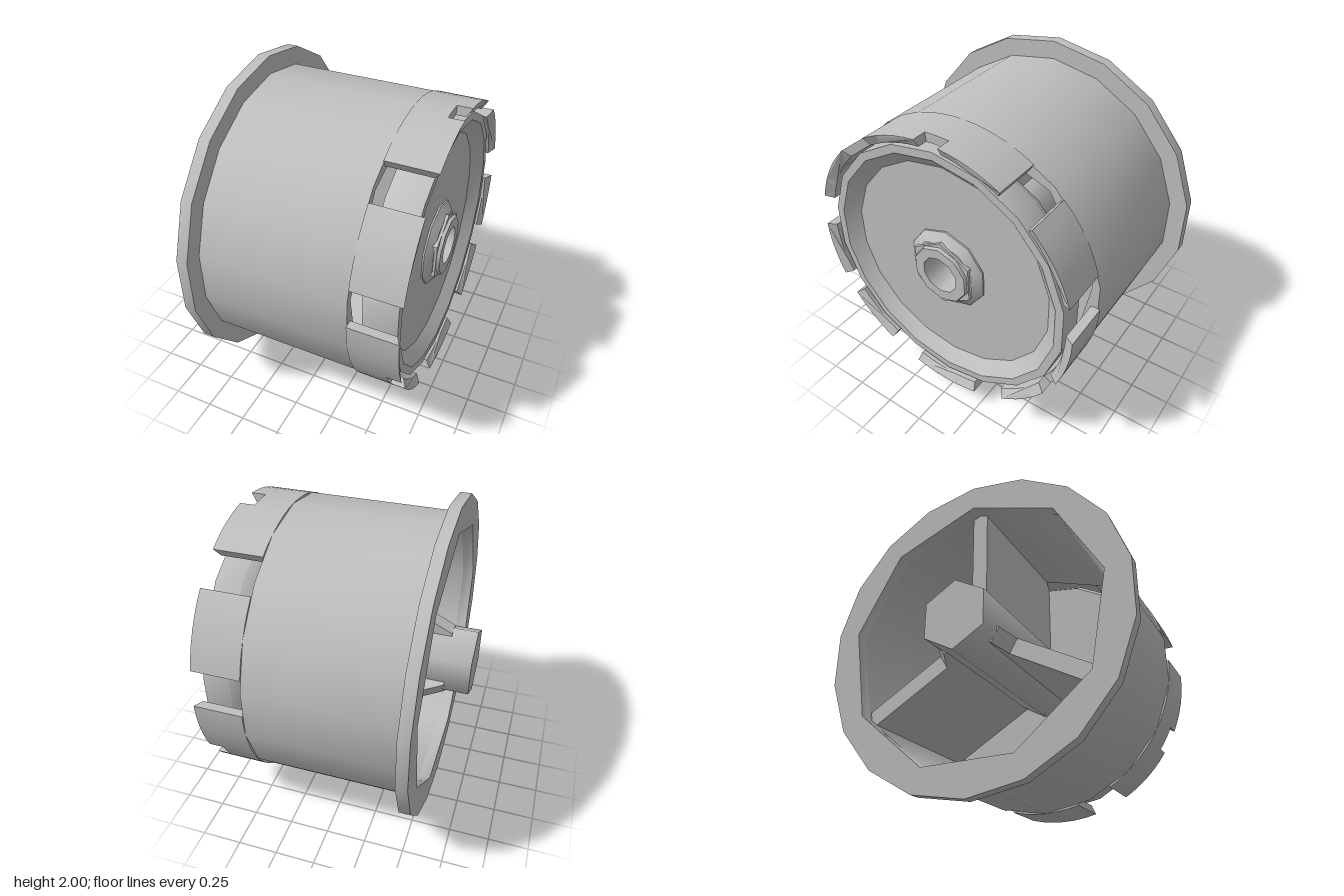
import * as THREE from 'three';
import { toCreasedNormals } from 'three/addons/utils/BufferGeometryUtils.js';

const RAD = Math.PI / 180;

// Regular polygon outline with one corner straight up
function polygon(sides, r, Type = THREE.Shape) {
  const pts = [];
  for (let i = 0; i < sides; i++) {
    const a = Math.PI / 2 + (i * 2 * Math.PI) / sides;
    pts.push(new THREE.Vector2(r * Math.cos(a), r * Math.sin(a)));
  }
  return new Type(pts);
}

// Prism along the axis from z0 to z1, with an optional hole
function prism(outer, hole, z0, z1, crease = 0.75) {
  if (hole) outer.holes.push(hole);
  const geo = new THREE.ExtrudeGeometry(outer, { depth: z1 - z0, bevelEnabled: false, curveSegments: 4 });
  geo.translate(0, 0, z0);
  return toCreasedNormals(geo, crease);
}

// Turned part from [radius, z] points
function turned(points, sides) {
  const geo = new THREE.LatheGeometry(points.map(([r, z]) => new THREE.Vector2(r, z)), sides);
  geo.rotateX(Math.PI / 2);
  return toCreasedNormals(geo, 0.65);
}

// Piece of the notched rim; the end can slope inward
function rimPiece(from, to, z1, sloped) {
  const shape = new THREE.Shape();
  shape.absarc(0, 0, 0.89, from * RAD, to * RAD, false);
  shape.absarc(0, 0, 0.835, to * RAD, from * RAD, true);
  const geo = new THREE.ExtrudeGeometry(shape, { depth: z1 - 0.42, bevelEnabled: false, curveSegments: 3 });
  geo.translate(0, 0, 0.42);
  const p = geo.attributes.position;
  for (let i = 0; sloped && i < p.count; i++) {
    if (p.getZ(i) > 0.7 && Math.hypot(p.getX(i), p.getY(i)) < 0.86) p.setZ(i, 0.69);
  }
  return toCreasedNormals(geo, 0.5);
}

export function createModel() {
  const root = new THREE.Group();
  root.name = 'drum';
  const grey = new THREE.MeshStandardMaterial({ color: 0xbfbfbf });
  grey.name = 'grey';

  // Everything is built along z, then turned so the axis lies along x
  const axis = new THREE.Group();
  axis.name = 'drumAssembly';
  axis.rotation.y = Math.PI / 2;
  axis.position.y = 1;
  root.add(axis);
  const add = (name, geo) => {
    const mesh = new THREE.Mesh(geo, grey);
    mesh.name = name;
    axis.add(mesh);
  };

  // Flange and shell, both with the nine-sided bore
  add('flange', prism(polygon(18, 1), polygon(9, 0.845, THREE.Path), -0.56, -0.49));
  add('shell', prism(polygon(18, 0.89), polygon(9, 0.845, THREE.Path), -0.49, 0.42));

  // Dished end disc
  add('endDisc', turned([
    [0.15, 0.46], [0.78, 0.46], [0.82, 0.52], [0.82, 0.68],
    [0.77, 0.68], [0.69, 0.61], [0.15, 0.61],
  ], 18));

  // Hexagonal shaft, hollow at the disc end
  add('shaft', prism(polygon(6, 0.22), null, -0.73, 0.42, 1.1));
  add('shaftSocket', prism(polygon(6, 0.22), polygon(10, 0.12, THREE.Path), 0.42, 0.675, 0.75));
  add('shaftTip', turned([[0.195, 0.66], [0.185, 0.695], [0.12, 0.695], [0.12, 0.5], [0.08, 0.45], [0, 0.43]], 10));
  add('collar', turned([[0.265, 0.6], [0.265, 0.62], [0.21, 0.66], [0.15, 0.66]], 10));

  // Three repeats of the rim teeth and inner ribs
  const ribShape = new THREE.Shape([
    [0.1, -0.58], [0.21, -0.58], [0.27, -0.46], [0.85, -0.47], [0.85, 0.4], [0.78, 0.47], [0.1, 0.47],
  ].map(([r, z]) => new THREE.Vector2(r, z)));
  for (const a of [90, 210, 330]) {
    add('rimToothLeft', rimPiece(a + 5, a + 30, 0.72, true));
    add('rimToothRight', rimPiece(a - 30, a - 5, 0.72, true));
    add('rimSlotBase', rimPiece(a - 5, a + 5, 0.63, false));
    add('rimToothPlain', rimPiece(a + 45, a + 75, 0.72, true));

    const rib = new THREE.ExtrudeGeometry(ribShape, { depth: 0.1, bevelEnabled: false });
    rib.translate(0, 0, -0.05);
    rib.rotateX(Math.PI / 2);
    rib.rotateZ(a * RAD);
    add('rib', rib);
  }
  return root;
}
